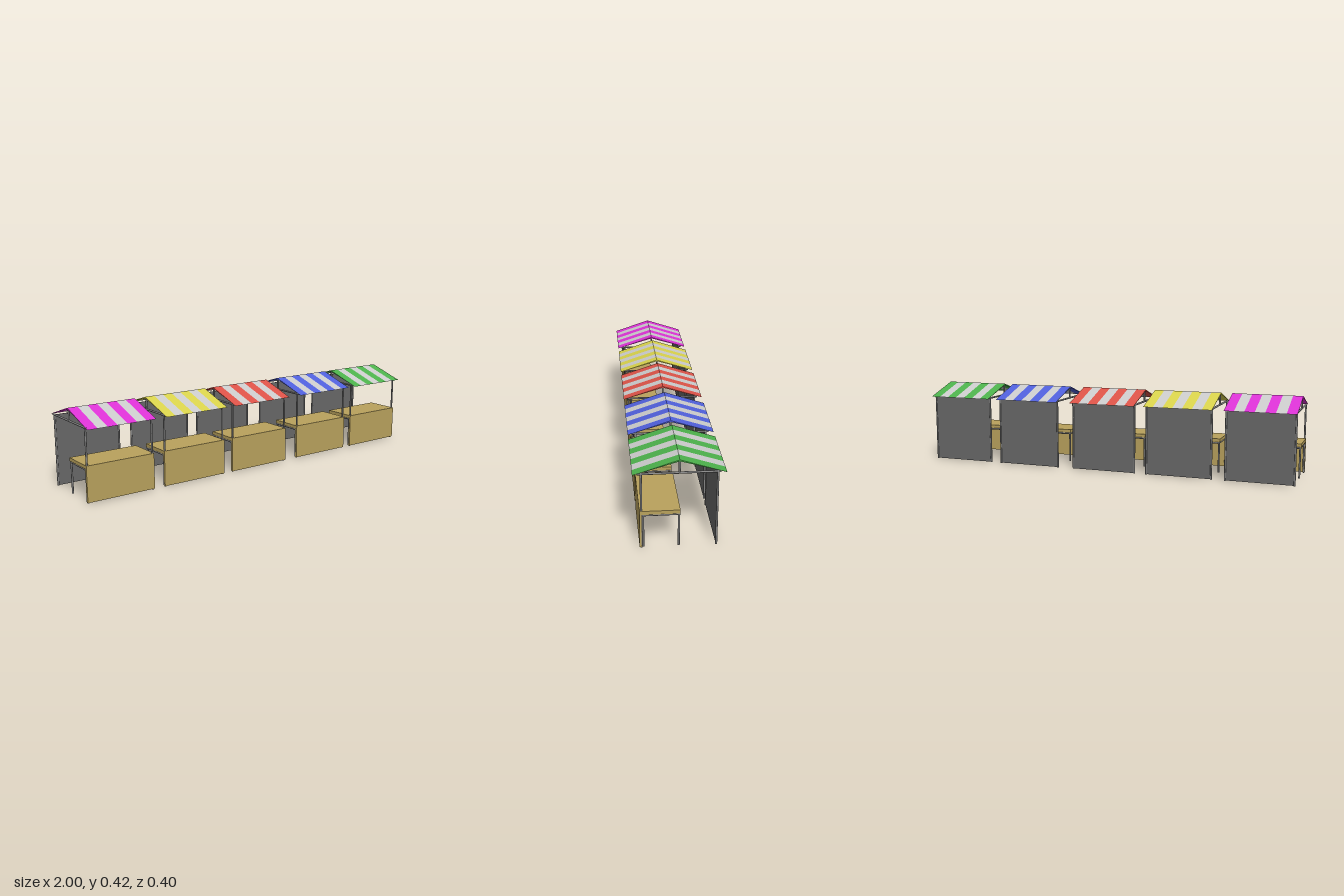
import * as THREE from 'three';

const WIDTH = 0.353;
const WOOD = new THREE.MeshStandardMaterial({ color: 0xb9a25d });
const METAL = new THREE.MeshStandardMaterial({ color: 0x858585 });
const CLOTH = new THREE.MeshStandardMaterial({ color: 0x686868 });
const PALE = new THREE.MeshStandardMaterial({ color: 0xcccccc });

function box(parent, name, material, size, position) {
  const mesh = new THREE.Mesh(new THREE.BoxGeometry(...size), material);
  mesh.name = name;
  mesh.position.set(...position);
  parent.add(mesh);
}

// Round tube between two points
function pole(parent, name, from, to, radius = 0.0048) {
  const a = new THREE.Vector3(...from);
  const b = new THREE.Vector3(...to);
  const dir = b.clone().sub(a);
  const mesh = new THREE.Mesh(new THREE.CylinderGeometry(radius, radius, dir.length(), 10), METAL);
  mesh.name = name;
  mesh.position.copy(a).add(b).multiplyScalar(0.5);
  mesh.quaternion.setFromUnitVectors(new THREE.Vector3(0, 1, 0), dir.normalize());
  parent.add(mesh);
}

// Gabled awning made of seven stripes side by side
function awning(color) {
  const group = new THREE.Group();
  group.name = 'awning';
  const section = new THREE.Shape([
    new THREE.Vector2(-0.2, 0.353), new THREE.Vector2(0, 0.411),
    new THREE.Vector2(0.2, 0.353), new THREE.Vector2(0, 0.418),
  ]);
  const stripe = WIDTH / 7;
  const geometry = new THREE.ExtrudeGeometry(section, { depth: stripe, bevelEnabled: false });
  geometry.rotateY(Math.PI / 2);
  const tint = new THREE.MeshStandardMaterial({ color });
  for (let i = 0; i < 7; i++) {
    const mesh = new THREE.Mesh(geometry, i % 2 ? PALE : tint);
    mesh.name = i % 2 ? 'paleStripe' : 'colouredStripe';
    mesh.position.x = -WIDTH / 2 + i * stripe;
    group.add(mesh);
  }
  return group;
}

function stall(color) {
  const group = new THREE.Group();
  group.name = 'marketStall';
  group.add(awning(color));

  // Counter: top, front board and rear frame rail
  box(group, 'counterTop', WOOD, [WIDTH, 0.017, 0.176], [0, 0.1715, 0.083]);
  box(group, 'counterFront', WOOD, [WIDTH, 0.17, 0.009], [0, 0.089, 0.1665]);
  pole(group, 'counterRearRail', [-0.17, 0.158, 0], [0.17, 0.158, 0]);

  // Rear curtain
  box(group, 'rearCurtain', CLOTH, [0.344, 0.353, 0.004], [0, 0.1785, -0.163]);

  // Frame and table legs, mirrored on both ends
  for (const side of [-1, 1]) {
    const x = side * 0.17;
    pole(group, 'frontPost', [x, 0, 0.163], [x, 0.355, 0.163]);
    pole(group, 'rearPost', [x, 0, -0.163], [x, 0.355, -0.163]);
    pole(group, 'tieBeam', [x, 0.3555, -0.176], [x, 0.3555, 0.18]);
    pole(group, 'kingPost', [x, 0.355, 0], [x, 0.412, 0]);
    pole(group, 'counterSideRail', [x, 0.158, -0.004], [x, 0.158, 0.161]);
    pole(group, 'counterRearLeg', [x, 0.004, 0.001], [x, 0.158, 0.001]);
    pole(group, 'counterFrontLeg', [x, 0.004, 0.155], [x, 0.158, 0.155]);
  }
  return group;
}

export function createModel() {
  const model = new THREE.Group();
  model.name = 'marketStalls';
  const row = [
    [-0.8235, 0xdd33d6], [-0.413, 0xd9d34c], [-0.009, 0xdd5348],
    [0.422, 0x5060dc], [0.8235, 0x4db24c],
  ];
  for (const [x, color] of row) {
    const unit = stall(color);
    unit.position.x = x;
    model.add(unit);
  }
  return model;
}
